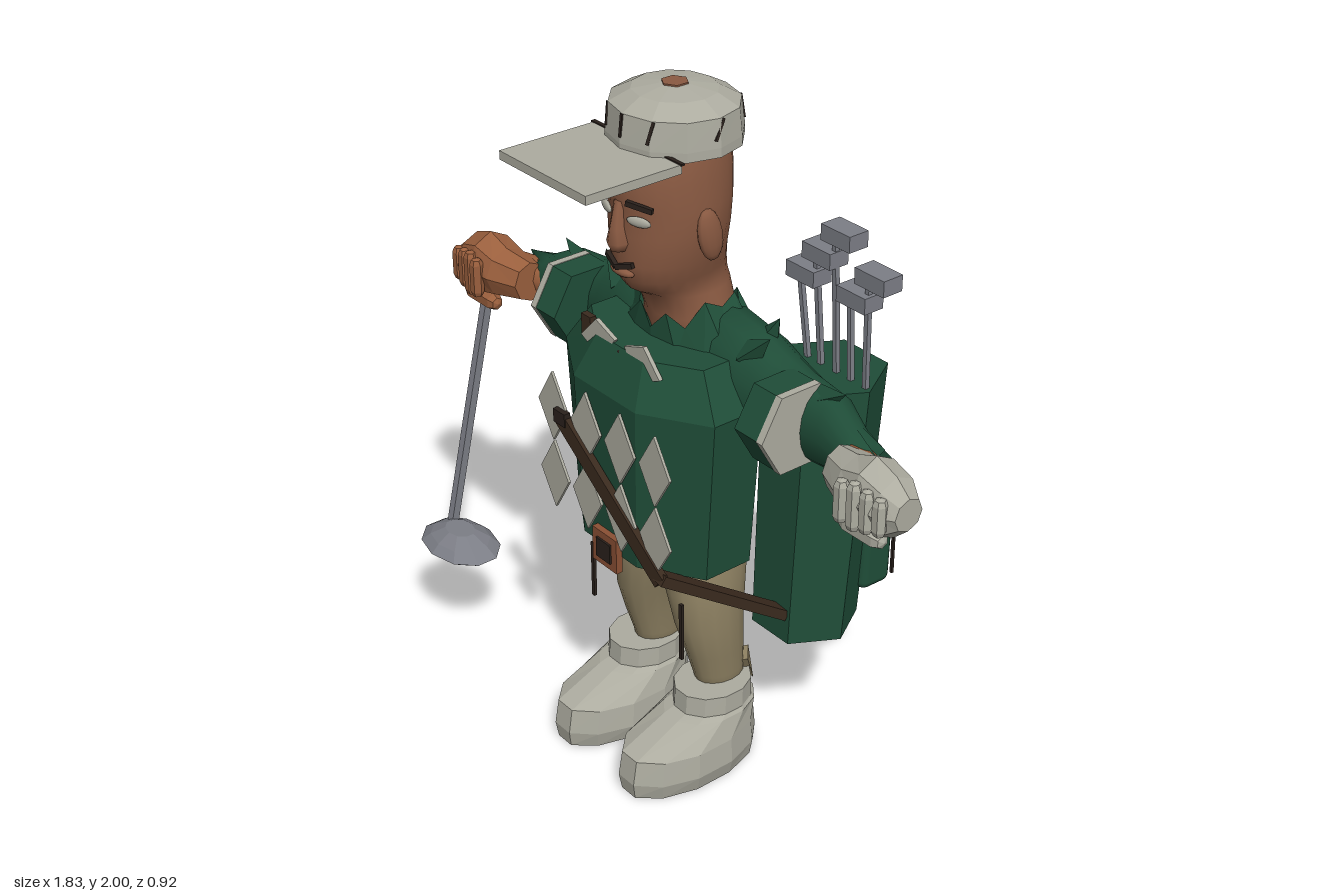
import * as THREE from 'three';
import { RoundedBoxGeometry } from 'three/addons/geometries/RoundedBoxGeometry.js';

const mat = (name, color) => Object.assign(new THREE.MeshStandardMaterial({ color }), { name });
const M = {
  green: mat('shirtGreen', 0x1f4d38), skin: mat('faceSkin', 0x8a5a42), hand: mat('handSkin', 0x9a5f3d),
  grey: mat('warmGrey', 0xadaca0), tan: mat('trouserTan', 0x8f8263), steel: mat('steel', 0x7c7e86),
  brown: mat('strapBrown', 0x3a2a1e), dark: mat('darkTrim', 0x2a211c), buckle: mat('buckleBrown', 0x8a5034),
};
const V = (x, y, z) => new THREE.Vector3(x, y, z);

// Closed tube through elliptical rings [y, cx, rx, cz, rz, jag, dip]
function loft(rings, n, { flat = false, phase = 0 } = {}) {
  const pos = [], idx = [];
  for (const [y, cx, rx, cz, rz, jag = 0, dip = 0] of rings) {
    for (let i = 0; i < n; i++) {
      const a = ((i + phase) / n) * Math.PI * 2;
      pos.push(cx + rx * Math.sin(a), y + (i % 2 ? jag : -jag) - dip * Math.abs(Math.cos(a)), cz + rz * Math.cos(a));
    }
  }
  for (let r = 0; r < rings.length - 1; r++) {
    for (let i = 0; i < n; i++) {
      const j = (i + 1) % n, a = r * n + i, b = r * n + j;
      idx.push(a, b, b + n, a, b + n, a + n);
    }
  }
  const last = rings.length - 1, c = pos.length / 3;
  for (const r of [0, last]) pos.push(rings[r][1], rings[r][0], rings[r][3]);
  for (let i = 0; i < n; i++) {
    const j = (i + 1) % n;
    idx.push(c, j, i, c + 1, last * n + i, last * n + j);
  }
  let g = new THREE.BufferGeometry();
  g.setAttribute('position', new THREE.Float32BufferAttribute(pos, 3));
  g.setIndex(idx);
  if (flat) g = g.toNonIndexed();
  g.computeVertexNormals();
  return g;
}
// The same tube laid along x, with rings [x, cy, ry, cz, rz, jag]
const loftX = (rings, n, opt) =>
  loft(rings.map(([x, cy, ...rest]) => [x, -cy, ...rest]), n, opt).rotateZ(-Math.PI / 2);

export function createModel() {
  const root = new THREE.Group();
  const add = (name, geo, m, x = 0, y = 0, z = 0) => {
    const mesh = new THREE.Mesh(geo, m);
    mesh.name = name;
    mesh.position.set(x, y, z);
    root.add(mesh);
    return mesh;
  };
  const box = (name, m, w, h, d, x, y, z) => add(name, new THREE.BoxGeometry(w, h, d), m, x, y, z);
  const bar = (name, m, a, b, w, t) => {
    const p = a.clone().lerp(b, 0.5);
    const mesh = box(name, m, w, t, a.distanceTo(b), p.x, p.y, p.z);
    mesh.lookAt(b);
    return mesh;
  };
  const flatGeo = (g) => { const f = g.index ? g.toNonIndexed() : g; f.computeVertexNormals(); return f; };
  const ball = (name, m, sx, sy, sz, x, y, z, w = 12, h = 8) =>
    add(name, new THREE.SphereGeometry(1, w, h).scale(sx, sy, sz), m, x, y, z);

  // Head and neck: [y, half width, front z, back z]
  const head = [[1.25, 0.15, 0.12, -0.12], [1.38, 0.125, 0.12, -0.115], [1.45, 0.108, 0.15, -0.105],
    [1.475, 0.105, 0.195, -0.1], [1.51, 0.113, 0.22, -0.095], [1.56, 0.132, 0.232, -0.09], [1.64, 0.147, 0.232, -0.095],
    [1.71, 0.15, 0.23, -0.1], [1.78, 0.146, 0.243, -0.103], [1.86, 0.138, 0.222, -0.095], [1.92, 0.12, 0.18, -0.07]];
  add('head', loft(head.map(([y, rx, f, b]) => [y, 0, rx, (f + b) / 2, (f - b) / 2]), 24), M.skin);
  add('nose', loft([[1.597, 0, 0.022, 0.225, 0.03], [1.62, 0, 0.034, 0.22, 0.047], [1.66, 0, 0.02, 0.225, 0.035],
    [1.73, 0, 0.014, 0.225, 0.018]], 8), M.skin);
  ball('lips', M.skin, 0.045, 0.014, 0.02, 0, 1.535, 0.222);
  for (const s of [-1, 1]) {
    ball('ear', M.skin, 0.02, 0.075, 0.038, s * 0.15, 1.64, 0.06).rotation.x = 0.2;
    const eye = ball('eye', M.grey, 0.036, 0.014, 0.008, s * 0.066, 1.69, 0.219);
    eye.rotation.y = s * 0.35;
    const brow = box('eyebrow', M.dark, 0.075, 0.014, 0.012, s * 0.075, 1.735, 0.224);
    brow.rotation.set(0, s * 0.4, s * -0.12);
    const whisker = box('moustache', M.dark, 0.056, 0.014, 0.012, s * 0.026, 1.56, 0.236);
    whisker.rotation.set(0, s * 0.25, s * 0.3);
  }

  // Cap with visor and seams
  add('capCrown', loft([[1.855, 0, 0.18, 0.05, 0.175], [1.88, 0, 0.18, 0.05, 0.175], [1.955, 0, 0.174, 0.05, 0.165],
    [1.985, 0, 0.115, 0.05, 0.11], [1.996, 0, 0.04, 0.05, 0.04]], 12, { flat: true }), M.grey);
  add('capHole', new THREE.CylinderGeometry(0.036, 0.036, 0.006, 6), M.skin, 0, 1.997, 0.05);
  box('visor', M.grey, 0.35, 0.024, 0.29, 0, 1.855, 0.315);
  box('capBand', M.dark, 0.36, 0.005, 0.012, 0, 1.868, 0.17);
  for (const a of [-150, -90, -30, 0, 30, 90, 150].map((d) => d * Math.PI / 180)) {
    const seam = box('capSeam', M.dark, 0.008, 0.06, 0.008, Math.sin(a) * 0.172, 1.925, 0.05 + Math.cos(a) * 0.168);
    seam.rotation.set(-0.12, a, Math.sin(a) * -0.5, 'YXZ');
  }

  // Faceted torso
  const k = 1 / Math.cos(Math.PI / 8);
  add('torso', loft([[0.715, 0, 0.28, 0.1, 0.18], [1.2, 0, 0.315, 0.1, 0.19], [1.32, 0, 0.235, 0.09, 0.145]]
    .map(([y, x, rx, z, rz]) => [y, x, rx * k, z, rz * k]), 8, { flat: true, phase: 0.5 }), M.green);

  // Shoulders and sleeves in one span, torn at the ends
  const half = [[0.14, 1.21, 0.2, -0.02, 0.125], [0.27, 1.22, 0.165, -0.025, 0.11],
    [0.34, 1.22, 0.13, -0.03, 0.095], [0.42, 1.215, 0.115, -0.03, 0.08], [0.54, 1.215, 0.105, -0.025, 0.07],
    [0.63, 1.2, 0.072, -0.01, 0.055], [0.69, 1.2, 0.056, 0, 0.045, 0.035]];
  const mirrored = half.map(([x, ...r]) => [-x, ...r]).reverse();
  add('shoulders', loftX([...mirrored, [0, 1.19, 0.155, -0.02, 0.13], ...half], 16), M.green);
  add('collar', loft([[1.29, 0, 0.24, -0.01, 0.145], [1.44, 0, 0.135, 0.005, 0.13, 0.025, 0.07],
    [1.3, 0, 0.12, 0, 0.11]], 16, { flat: true }), M.green);

  for (const s of [-1, 1]) {
    const side = s < 0 ? 'right' : 'left';
    const skinMat = s < 0 ? M.hand : M.grey;
    // Shoulder and sleeve tatters
    for (const [x, y, z, lean] of [[0.3, 1.37, 0.02, -0.8], [0.27, 1.38, -0.05, -0.5], [0.53, 1.315, -0.02, -1.1]]) {
      add('shirtTatter', flatGeo(new THREE.ConeGeometry(0.045, 0.11, 4)), M.green, s * x, y, z).rotation.z = s * lean;
    }
    // Sleeve cuff
    const cuff = (name, m, r, w, x) =>
      add(name, flatGeo(new THREE.CylinderGeometry(r, r, w, 6).rotateZ(Math.PI / 2)), m, s * x, 1.225, 0.045);
    cuff('sleeveCuff', M.green, 0.125, 0.09, 0.425);
    cuff('cuffStripe', M.grey, 0.127, 0.022, 0.476);

    // Forearm and fist
    const arm = [[0.6, 1.2, 0.05, 0, 0.04], [0.69, 1.2, 0.053, 0.02, 0.045], [0.75, 1.2, 0.065, 0.06, 0.055]];
    const fore = s > 0 ? arm : arm.map(([x, ...r]) => [-x, ...r]).reverse();
    add(side + 'Forearm', loftX(fore, 10), M.hand);
    const palm = [[0.645, 1.2, 0.06, 0.06, 0.055], [0.73, 1.205, 0.075, 0.08, 0.075], [0.8, 1.21, 0.1, 0.085, 0.08],
      [0.87, 1.2, 0.085, 0.085, 0.075], [0.915, 1.2, 0.045, 0.085, 0.045]];
    const fist = s > 0 ? palm : palm.map(([x, ...r]) => [-x, ...r]).reverse();
    add(side + 'Fist', loftX(fist, 8, { flat: true }), skinMat);
    for (let i = 0; i < 4; i++) {
      add(side + 'Finger', flatGeo(new THREE.CapsuleGeometry(0.02, 0.1 - Math.abs(i - 1) * 0.015, 2, 6)), skinMat,
        s * (0.765 + i * 0.038), 1.2, 0.163 - i * 0.006);
    }
    add(side + 'Thumb', flatGeo(new THREE.CapsuleGeometry(0.026, 0.1, 2, 6)), skinMat, s * 0.8, 1.115, 0.12)
      .rotation.z = Math.PI / 2;

    // Trouser leg with torn hem
    add(side + 'Leg', loft([[0.2, s * 0.14, 0.05, 0.0, 0.07], [0.28, s * 0.135, 0.06, 0.01, 0.08],
      [0.36, s * 0.137, 0.07, 0.025, 0.09], [0.46, s * 0.13, 0.085, 0.04, 0.105], [0.57, s * 0.113, 0.1, 0.04, 0.12],
      [0.66, s * 0.1, 0.105, 0.03, 0.125], [0.76, s * 0.09, 0.1, 0.03, 0.11]], 16), M.tan);
    for (const d of [-0.03, 0.02]) {
      add('hemTatter', flatGeo(new THREE.ConeGeometry(0.035, 0.12, 4)), M.tan, s * 0.14 + d, 0.25, -0.075)
        .rotation.x = Math.PI + 0.45;
    }
    box('trouserStripe', M.dark, 0.012, 0.18, 0.009, s * 0.197, 0.51, 0.193);

    // Boot
    add(side + 'Boot', loft([[0, s * 0.15, 0.115, 0.13, 0.225], [0.05, s * 0.15, 0.13, 0.133, 0.23],
      [0.125, s * 0.15, 0.125, 0.13, 0.22], [0.19, s * 0.15, 0.108, 0.055, 0.145], [0.2, s * 0.15, 0.1, 0.045, 0.12],
      [0.26, s * 0.15, 0.1, 0.043, 0.118]], 12, { flat: true, phase: 0.5 }), M.grey);

    // Shirt collar flap
    const flap = new THREE.Shape([[0.02, 1.33], [0.08, 1.25], [0.165, 1.29], [0.1, 1.36]].map(([x, y]) => new THREE.Vector2(s * x, y)));
    add('collarFlap', new THREE.ExtrudeGeometry(flap, { depth: 0.012, bevelEnabled: false }), M.grey, 0, 0, 0.225);
  }

  // Argyle diamonds
  const diamond = new THREE.Shape([[0, -0.105], [0.063, 0], [0, 0.105], [-0.063, 0]].map((p) => new THREE.Vector2(...p)));
  const plate = new THREE.ExtrudeGeometry(diamond, { depth: 0.008, bevelEnabled: false });
  for (const y of [1.07, 0.857]) for (let i = 0; i < 4; i++) add('diamond', plate, M.grey, (i - 1.5) * 0.146, y, 0.292);
  for (const y of [1.245, 1.275, 1.305]) ball('button', M.dark, 0.008, 0.008, 0.008, 0, y, 0.235, 6, 4);

  // Belt buckle and bag strap
  box('buckle', M.buckle, 0.105, 0.105, 0.02, 0, 0.72, 0.29);
  box('buckleCentre', M.dark, 0.06, 0.06, 0.008, 0, 0.72, 0.302);
  bar('strapFront', M.brown, V(-0.18, 1.06, 0.302), V(0.24, 0.74, 0.295), 0.02, 0.05);
  bar('strapSide', M.brown, V(0.235, 0.755, 0.3), V(0.29, 0.5, -0.09), 0.05, 0.03);
  box('strapEnd', M.dark, 0.05, 0.04, 0.02, -0.17, 1.06, 0.305);
  box('strapShoulder', M.brown, 0.04, 0.06, 0.02, -0.18, 1.3, 0.2);

  // Golf bag, tilted back, with pocket
  add('golfBag', loft([[0.415, 0.25, 0.15, -0.21, 0.15], [1.185, 0.24, 0.17, -0.267, 0.17]], 6,
    { flat: true, phase: 0.5 }), M.green);
  const pocket = add('bagPocket', new RoundedBoxGeometry(0.22, 0.31, 0.11, 2, 0.025), M.green, 0.245, 0.645, -0.39);
  box('pocketTrim', M.steel, 0.24, 0.012, 0.008, 0.245, 0.785, -0.455);
  for (const s of [-1, 1]) box('pocketPiping', M.dark, 0.008, 0.27, 0.008, 0.245 + s * 0.105, 0.645, -0.447);
  pocket.rotation.x = -0.03;

  // Irons in the bag
  for (const [x, y] of [[0.28, 1.585], [0.21, 1.51], [0.41, 1.51], [0.15, 1.435], [0.345, 1.435]]) {
    const foot = 0.25 + (x - 0.25) * 0.85;
    bar('ironShaft', M.steel, V(foot, 1.15, -0.275), V(x - 0.03, y, -0.275), 0.014, 0.014);
    box('ironHead', M.steel, 0.108, 0.046, 0.065, x, y, -0.278);
  }

  // Driver in the right hand
  bar('driverShaft', M.steel, V(-0.83, 1.15, 0.075), V(-0.825, 0.37, 0.262), 0.024, 0.024);
  add('driverHead', loft([[0.305, -0.755, 0.07, 0.28, 0.05], [0.35, -0.755, 0.148, 0.28, 0.105],
    [0.375, -0.755, 0.11, 0.28, 0.08], [0.4, -0.755, 0.055, 0.28, 0.04]], 10, { flat: true }), M.steel);
  return root;
}
